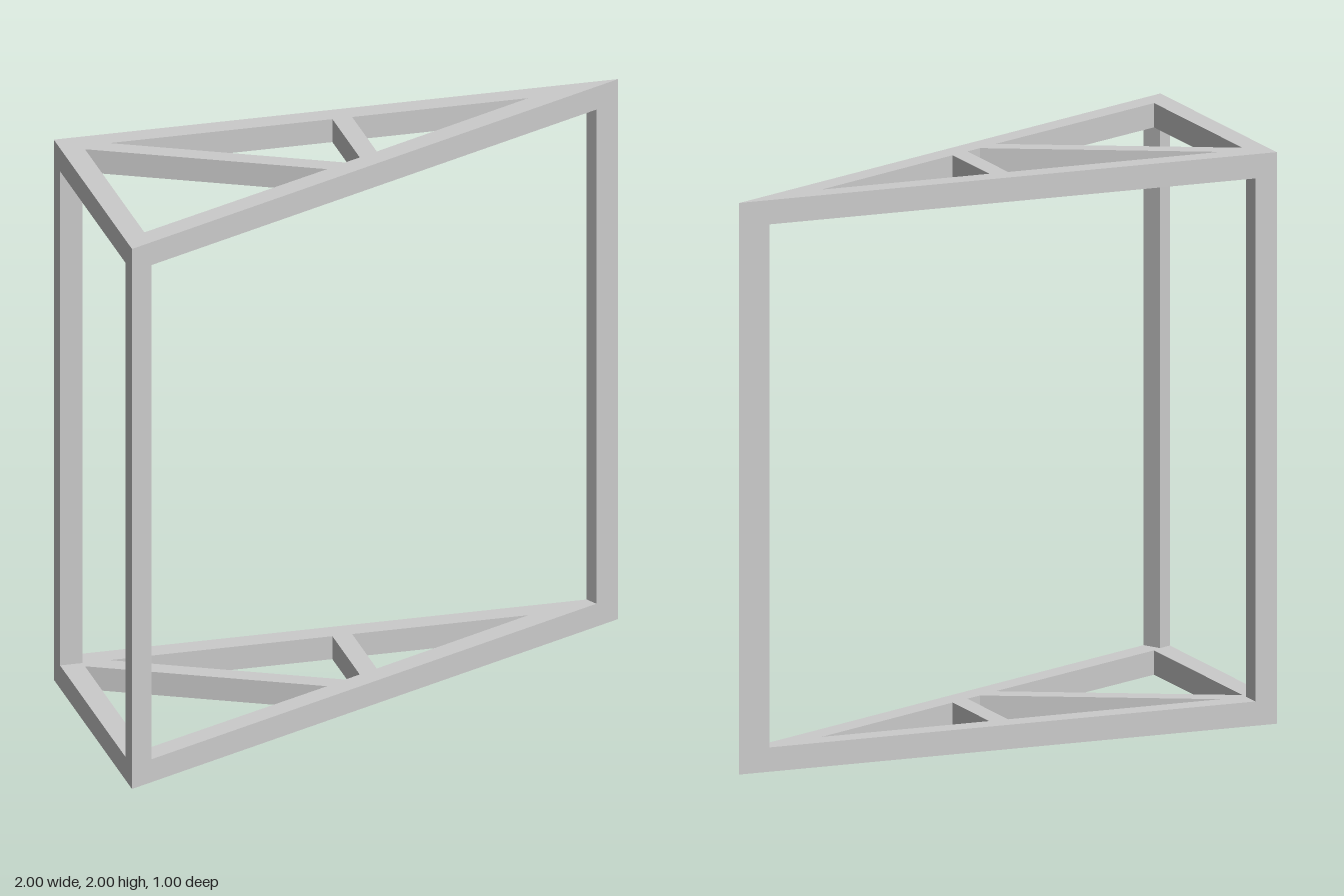
import * as THREE from 'three';

const HEIGHT = 2, BAR = 0.085;
const material = new THREE.MeshStandardMaterial({ color: 0xcccccc, flatShading: true });
const points = (list) => list.map(([x, z]) => new THREE.Vector2(x, z));

// Upright prism with an [x, z] outline, running from y = bottom to y = top
function prism(name, outline, bottom, top, holes = []) {
  const shape = new THREE.Shape(points(outline));
  shape.holes = holes.map((hole) => new THREE.Path(points(hole)));
  const geometry = new THREE.ExtrudeGeometry(shape, { depth: top - bottom, bevelEnabled: false });
  geometry.rotateX(Math.PI / 2); // shape y becomes z, depth runs downwards
  geometry.translate(0, top, 0);
  const mesh = new THREE.Mesh(geometry, material);
  mesh.name = name;
  return mesh;
}

export function createModel() {
  const group = new THREE.Group();
  group.name = 'triangularFrame';

  // Triangular trusses: the holes leave the rim, diagonal brace and short strut
  const triangle = [[-1, 0.5], [-1, -0.5], [1, -0.5]];
  const openings = [
    [[-0.92, 0.37], [-0.92, -0.39], [-0.17, 0]],
    [[-0.825, -0.42], [-0.035, -0.42], [-0.035, -0.07], [-0.095, -0.04]],
    [[0.035, -0.42], [0.66, -0.42], [0.035, -0.105]],
  ];
  group.add(prism('bottomTruss', triangle, 0, BAR, openings));
  group.add(prism('topTruss', triangle, HEIGHT - BAR, HEIGHT, openings));

  // Corner posts: square at the right angle, cut to the slanted side at the others
  const posts = {
    backRightPost: [[-1, -0.5], [-0.92, -0.5], [-0.92, -0.42], [-1, -0.42]],
    frontRightPost: [[-1, 0.5], [-0.92, 0.46], [-0.953, 0.395], [-1, 0.418]],
    backLeftPost: [[1, -0.5], [0.91, -0.455], [0.888, -0.5]],
  };
  for (const [name, outline] of Object.entries(posts)) {
    group.add(prism(name, outline, BAR, HEIGHT - BAR));
  }
  return group;
}
